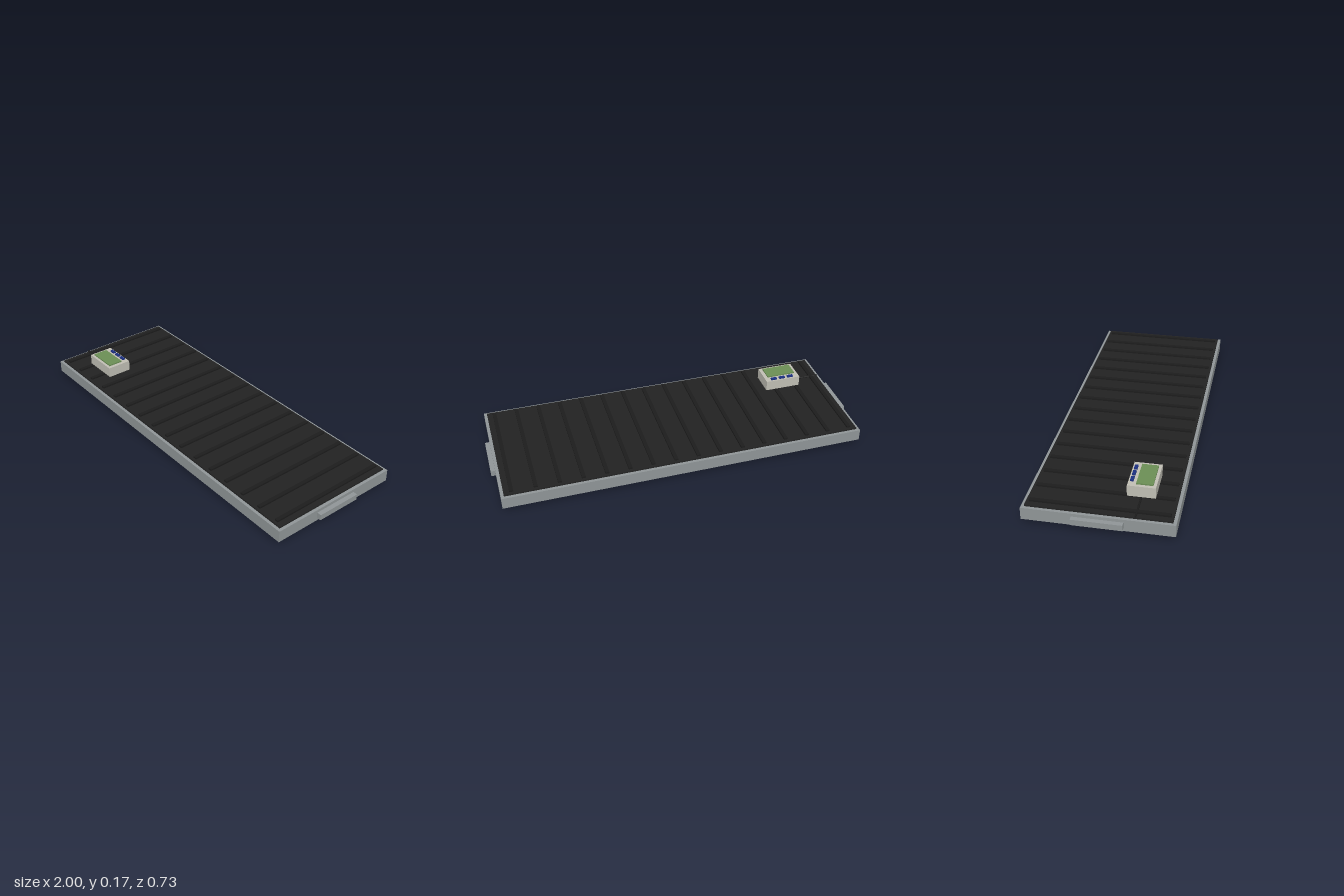
import * as THREE from 'three';

const material = (name, color) => {
  const m = new THREE.MeshStandardMaterial({ color });
  m.name = name;
  return m;
};

export function createModel() {
  const metal = material('grey metal', 0x8f9597);
  const rubber = material('black rubber', 0x222222);
  const ribRubber = material('dark rib rubber', 0x1c1c1c);
  const casing = material('pale casing', 0xc0beb4);
  const screenGreen = material('screen green', 0x6b8e55);
  const buttonBlue = material('button blue', 0x1a2f80);

  const model = new THREE.Group();
  model.name = 'platformScale';
  const add = (name, geometry, mat, x, y, z) => {
    const mesh = new THREE.Mesh(geometry, mat);
    mesh.name = name;
    mesh.position.set(x, y, z);
    model.add(mesh);
    return mesh;
  };
  // Box given by its lower and upper limits on each axis
  const box = (name, mat, [x0, x1], [y0, y1], [z0, z1]) =>
    add(name, new THREE.BoxGeometry(x1 - x0, y1 - y0, z1 - z0), mat,
      (x0 + x1) / 2, (y0 + y1) / 2, (z0 + z1) / 2);

  // Platform and rubber mat
  box('platform', metal, [-0.976, 0.976], [0.026, 0.09], [-0.366, 0.366]);
  box('mat', rubber, [-0.96, 0.96], [0.09, 0.098], [-0.35, 0.35]);

  // Raised grip ribs across the mat
  const ribs = 16;
  for (let i = 0; i < ribs; i++) {
    const x = -0.92 + (1.84 * i) / (ribs - 1);
    box('matRib', ribRubber, [x - 0.01, x + 0.01], [0.098, 0.107], [-0.335, 0.335]);
  }

  // End handles and round feet
  for (const sx of [-1, 1]) {
    add('handle', new THREE.BoxGeometry(0.03, 0.031, 0.246), metal, sx * 0.985, 0.0585, 0);
    for (const sz of [-1, 1])
      add('foot', new THREE.CylinderGeometry(0.041, 0.041, 0.026, 24), ribRubber,
        sx * 0.895, 0.013, sz * 0.294);
  }

  // Display unit with screen and three buttons
  box('displayCase', casing, [-0.814, -0.614], [0.107, 0.165], [0.107, 0.245]);
  box('screen', screenGreen, [-0.797, -0.634], [0.165, 0.172], [0.148, 0.23]);
  for (const x of [-0.76, -0.711, -0.662])
    box('button', buttonBlue, [x - 0.017, x + 0.017], [0.165, 0.172], [0.115, 0.132]);

  // Cable from the display to the platform edge
  const cable = add('cable', new THREE.CylinderGeometry(0.005, 0.005, 0.15, 10), ribRubber,
    -0.885, 0.103, 0.176);
  cable.rotation.z = Math.PI / 2;

  return model;
}
